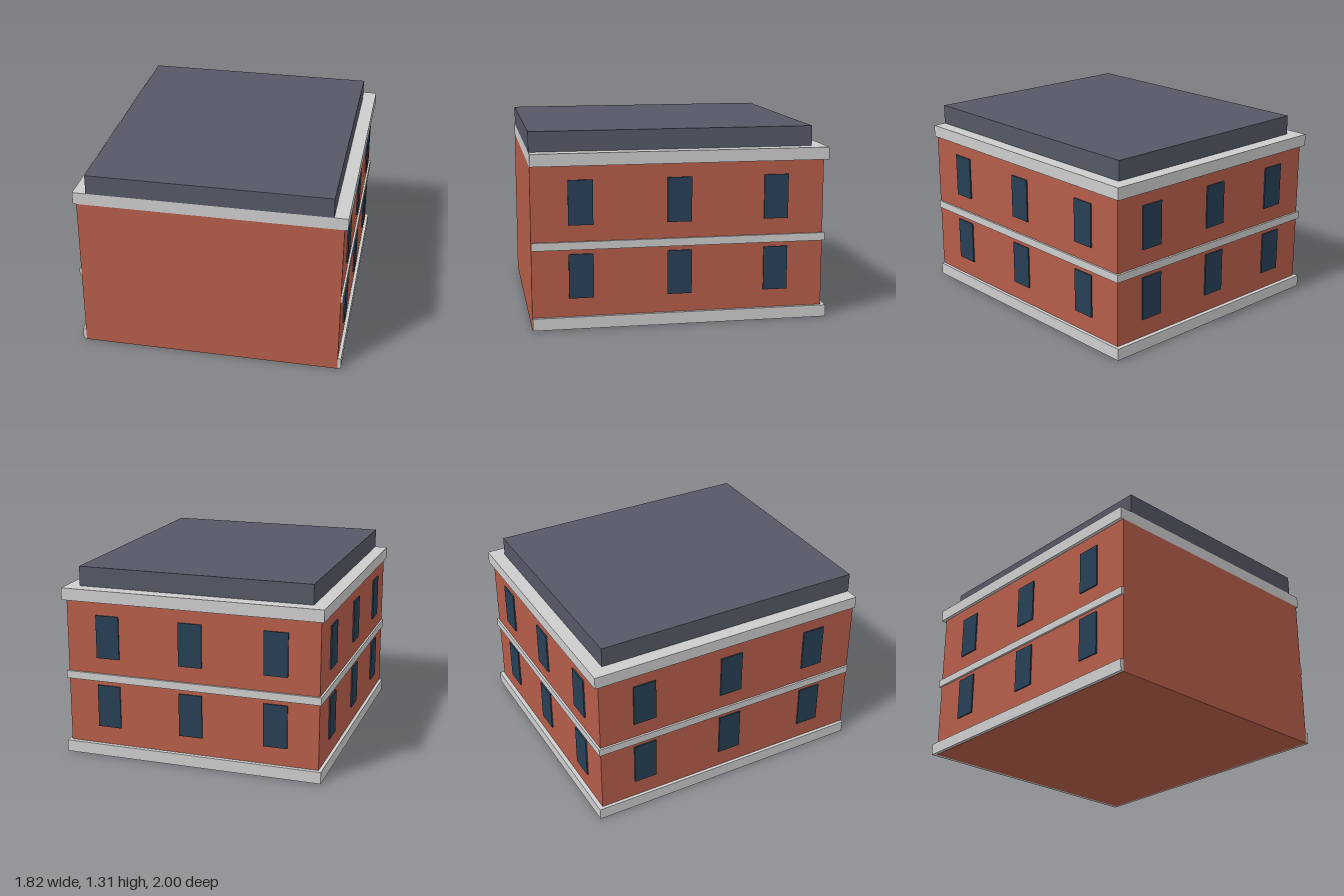
import * as THREE from 'three';

const material = (name, color) => {
  const m = new THREE.MeshStandardMaterial({ color });
  m.name = name;
  return m;
};

export function createModel() {
  const building = new THREE.Group();
  building.name = 'building';
  const brick = material('brick', 0xb55d49);
  const stone = material('stone', 0xcccccc);
  const slate = material('slate', 0x555866);
  const glass = material('glass', 0x273f55);

  // Box given by its extents on each axis
  const block = (name, mat, [x0, x1], [y0, y1], [z0, z1], parent = building) => {
    const mesh = new THREE.Mesh(new THREE.BoxGeometry(x1 - x0, y1 - y0, z1 - z0), mat);
    mesh.position.set((x0 + x1) / 2, (y0 + y1) / 2, (z0 + z1) / 2);
    mesh.name = name;
    parent.add(mesh);
  };

  // Brick walls, with a plain front and underside flush with the trim
  block('walls', brick, [-0.885, 0.885], [0, 1.09], [-0.97, 1]);

  // Stone courses wrapping the sides and back
  block('plinth', stone, [-0.908, 0.908], [0.002, 0.083], [-1, 0.998]);
  block('floorBand', stone, [-0.899, 0.899], [0.535, 0.588], [-0.985, 0.998]);
  block('cornice', stone, [-0.908, 0.908], [1.09, 1.173], [-1, 1]);

  // Flat raised roof
  block('roof', slate, [-0.815, 0.815], [1.173, 1.308], [-0.905, 1]);

  // Two storeys of three windows on each side and on the back
  const windows = new THREE.Group();
  windows.name = 'windows';
  building.add(windows);
  const half = 0.082;
  for (const rows of [[0.208, 0.505], [0.698, 0.997]]) {
    for (const i of [-1, 0, 1]) {
      const z = 0.015 + i * 0.658;
      const x = i * 0.59;
      block('leftWindow', glass, [0.886, 0.8955], rows, [z - half, z + half], windows);
      block('rightWindow', glass, [-0.8955, -0.886], rows, [z - half, z + half], windows);
      block('backWindow', glass, [x - half, x + half], rows, [-0.9805, -0.971], windows);
    }
  }
  return building;
}
